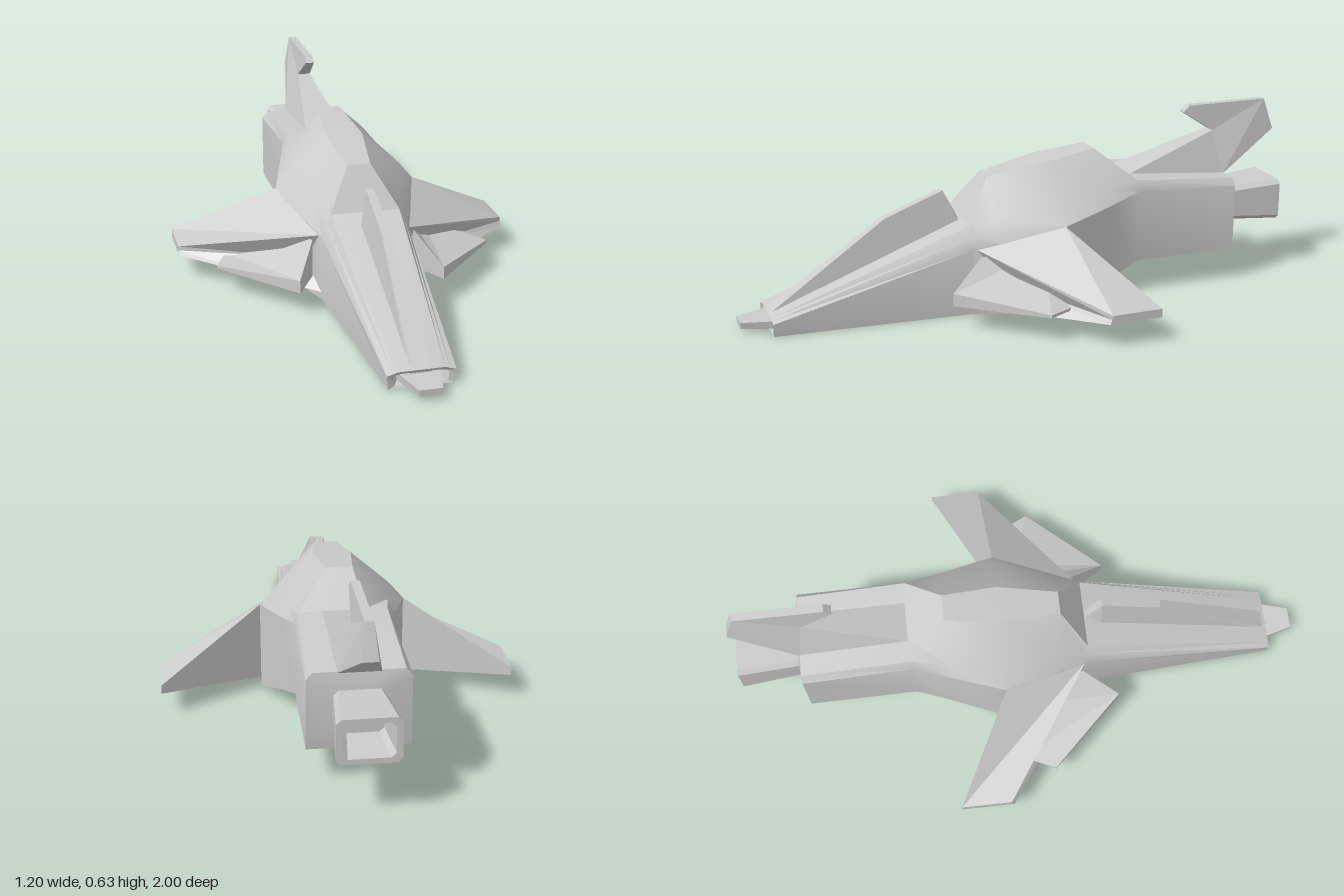
import * as THREE from 'three';
import { toCreasedNormals } from 'three/addons/utils/BufferGeometryUtils.js';

const material = new THREE.MeshStandardMaterial({ color: 0xcccccc });

// Skin a series of equal-length rings of [x, y, z] points and close both ends.
// Rings run counter-clockwise as seen from outside the first end.
function loft(name, rings, crease = 0.05) {
  const n = rings[0].length;
  const points = rings.flat();
  const index = [];
  for (let i = 0; i < rings.length - 1; i++) {
    for (let j = 0; j < n; j++) {
      const a = i * n + j, b = i * n + (j + 1) % n;
      index.push(a, a + n, b, b, a + n, b + n);
    }
  }
  const last = (rings.length - 1) * n;
  for (let j = 1; j < n - 1; j++) {
    index.push(0, j, j + 1, last, last + j + 1, last + j);
  }
  const geometry = new THREE.BufferGeometry();
  geometry.setAttribute('position', new THREE.Float32BufferAttribute(points.flat(), 3));
  geometry.setIndex(index);
  const mesh = new THREE.Mesh(toCreasedNormals(geometry, crease), material);
  mesh.name = name;
  return mesh;
}

// Symmetric ring at depth z from a right-hand half profile, bottom to top
function section(z, half) {
  const right = half.map(([x, y]) => [x, y, z]);
  return [...right, ...right.map(([x, y]) => [-x, y, z]).reverse()];
}

// Rectangle with cut corners
function frame(z, w, y0, y1, c) {
  return section(z, [[w - c, y0], [w, y0 + c], [w, y1 - c], [w - c, y1]]);
}

// Add a part and its mirror image across x = 0
function addPair(group, name, rings) {
  group.add(loft('left' + name, rings));
  group.add(loft('right' + name, rings.map(r => r.map(([x, y, z]) => [-x, y, z]).reverse())));
}

export function createModel() {
  const group = new THREE.Group();
  group.name = 'spacecraft';

  // Hull: recessed nose opening, windshield, wide shoulders, engine block
  group.add(loft('hull', [
    section(0.87, [[0.07, 0.01], [0.075, 0.035], [0.07, 0.04], [0.06, 0.042]]),
    section(0.90, [[0.085, 0.008], [0.09, 0.038], [0.08, 0.043], [0.065, 0.046]]),
    section(0.905, [[0.105, 0], [0.11, 0.045], [0.09, 0.05], [0.075, 0.055]]),
    section(0.22, [[0.15, 0], [0.155, 0.235], [0.137, 0.275], [0.12, 0.31]]),
    section(0.13, [[0.18, 0], [0.185, 0.255], [0.145, 0.325], [0.04, 0.45]]),
    section(-0.08, [[0.25, 0], [0.25, 0.31], [0.2, 0.37], [0.065, 0.49]]),
    section(-0.27, [[0.195, 0.075], [0.195, 0.345], [0.165, 0.39], [0.045, 0.515]]),
    section(-0.395, [[0.16, 0.12], [0.16, 0.375], [0.145, 0.412], [0.07, 0.415]]),
    section(-0.775, [[0.165, 0.12], [0.165, 0.355], [0.145, 0.38], [0.07, 0.38]]),
    section(-0.785, [[0.1, 0.18], [0.1, 0.325], [0.09, 0.34], [0.05, 0.34]]),
  ], 0.5));

  // Nose tip
  group.add(loft('noseTip', [
    section(1, [[0.033, 0.015], [0.037, 0.038]]),
    section(0.87, [[0.07, 0.012], [0.073, 0.04]]),
  ]));

  // Narrow raised spine on the nose
  group.add(loft('noseSpine', [
    section(0.895, [[0.035, 0.04], [0.03, 0.058]]),
    section(0.49, [[0.033, 0.19], [0.016, 0.335]]),
    section(0.28, [[0.033, 0.27], [0.013, 0.412]]),
    section(0.225, [[0.033, 0.29], [0.01, 0.305]]),
  ]));

  // Swept wings with a notched leading edge
  addPair(group, 'Wing', [
    [[0.155, 0.235, 0.21], [0.25, 0.31, -0.08], [0.25, 0.035, -0.08],
      [0.155, 0.03, 0.22], [0.19, 0.12, 0.12]],
    [[0.6, 0.115, -0.1], [0.6, 0.115, -0.275], [0.6, 0.085, -0.275],
      [0.6, 0.085, -0.09], [0.6, 0.1, -0.1]],
  ]);

  // Short fins that grow out of the leading-edge notch
  addPair(group, 'ForeFin', [
    [[0.18, 0.215, 0.2], [0.2, 0.21, 0], [0.2, 0.07, 0], [0.18, 0.085, 0.2]],
    [[0.25, 0.125, 0.325], [0.27, 0.17, 0], [0.27, 0.07, 0], [0.25, 0.08, 0.325]],
    [[0.49, 0.1, 0.07], [0.44, 0.1, -0.04], [0.44, 0.092, -0.04], [0.49, 0.09, 0.07]],
  ]);

  // Tail fin: extruded side outline, thinned towards the top
  const outline = [[-0.4, 0.415], [-0.75, 0.53], [-0.635, 0.605], [-0.66, 0.627],
    [-0.965, 0.627], [-1, 0.515], [-0.775, 0.375]];
  const tail = new THREE.ExtrudeGeometry(
    new THREE.Shape(outline.map(([z, y]) => new THREE.Vector2(-z, y))),
    { depth: 2, bevelEnabled: false });
  tail.translate(0, 0, -1).rotateY(Math.PI / 2);
  const p = tail.attributes.position;
  for (let i = 0; i < p.count; i++) {
    const y = p.getY(i);
    const width = y < 0.515
      ? THREE.MathUtils.mapLinear(y, 0.415, 0.515, 0.07, 0.025)
      : THREE.MathUtils.mapLinear(y, 0.515, 0.627, 0.025, 0.014);
    p.setX(i, p.getX(i) * Math.min(width, 0.07));
  }
  tail.computeVertexNormals();
  const tailFin = new THREE.Mesh(tail, material);
  tailFin.name = 'tailFin';
  group.add(tailFin);

  // Hollow engine nozzle
  group.add(loft('engineNozzle', [
    frame(-0.77, 0.08, 0.2, 0.32, 0.015),
    frame(-1, 0.1, 0.185, 0.335, 0.015),
    frame(-1, 0.08, 0.203, 0.317, 0.015),
    frame(-0.86, 0.065, 0.215, 0.305, 0.015),
  ]));

  return group;
}
